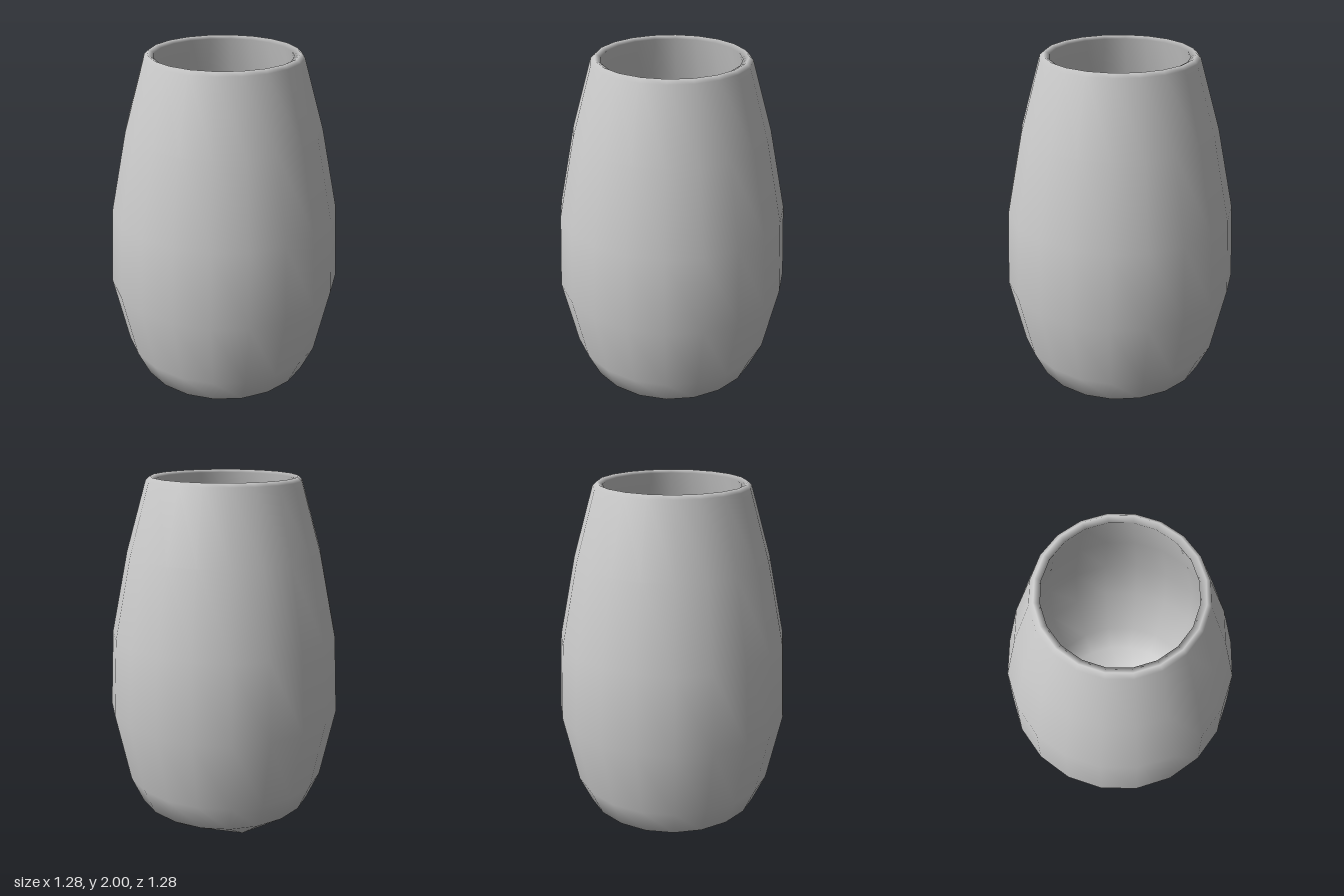
import * as THREE from 'three';
import { mergeVertices } from 'three/addons/utils/BufferGeometryUtils.js';

const SIDES = 20;

// closed profile: base, outer wall, rim, inner wall, inner floor
const PROFILE = [
  [0, 0], [0.29, 0], [0.5, 0.16], [0.57, 0.32], [0.65, 0.72], [0.625, 1.15],
  [0.53, 1.6], [0.418, 1.98], [0.395, 2], [0.365, 1.985],
  [0.48, 1.59], [0.575, 1.14], [0.6, 0.73], [0.52, 0.35], [0.44, 0.2], [0.25, 0.07], [0, 0.05],
];
const FOOT_RING = 1;

function vaseGeometry() {
  const step = (Math.PI * 2) / SIDES;
  const points = PROFILE.map(([r, y]) => new THREE.Vector2(r, y));
  const geometry = new THREE.LatheGeometry(points, SIDES, step / 2);
  const position = geometry.attributes.position;

  // the foot is a pentagon: snap every foot vertex to the nearest of five corners
  for (let k = 0; k <= SIDES; k++) {
    const corner = (Math.round(((k % SIDES) - 2) / 4) * 4 + 2) % SIDES;
    const angle = step * (corner + 0.5);
    const r = PROFILE[FOOT_RING][0];
    position.setXYZ(k * PROFILE.length + FOOT_RING, r * Math.sin(angle), 0, r * Math.cos(angle));
  }

  // weld the seam so the shading is smooth all round
  geometry.deleteAttribute('uv');
  geometry.deleteAttribute('normal');
  const welded = mergeVertices(geometry, 1e-4);
  welded.computeVertexNormals();
  return welded;
}

export function createModel() {
  const group = new THREE.Group();
  group.name = 'vase';
  const body = new THREE.Mesh(
    vaseGeometry(),
    new THREE.MeshStandardMaterial({ color: 0xcccccc })
  );
  body.name = 'vaseBody';
  group.add(body);
  return group;
}
